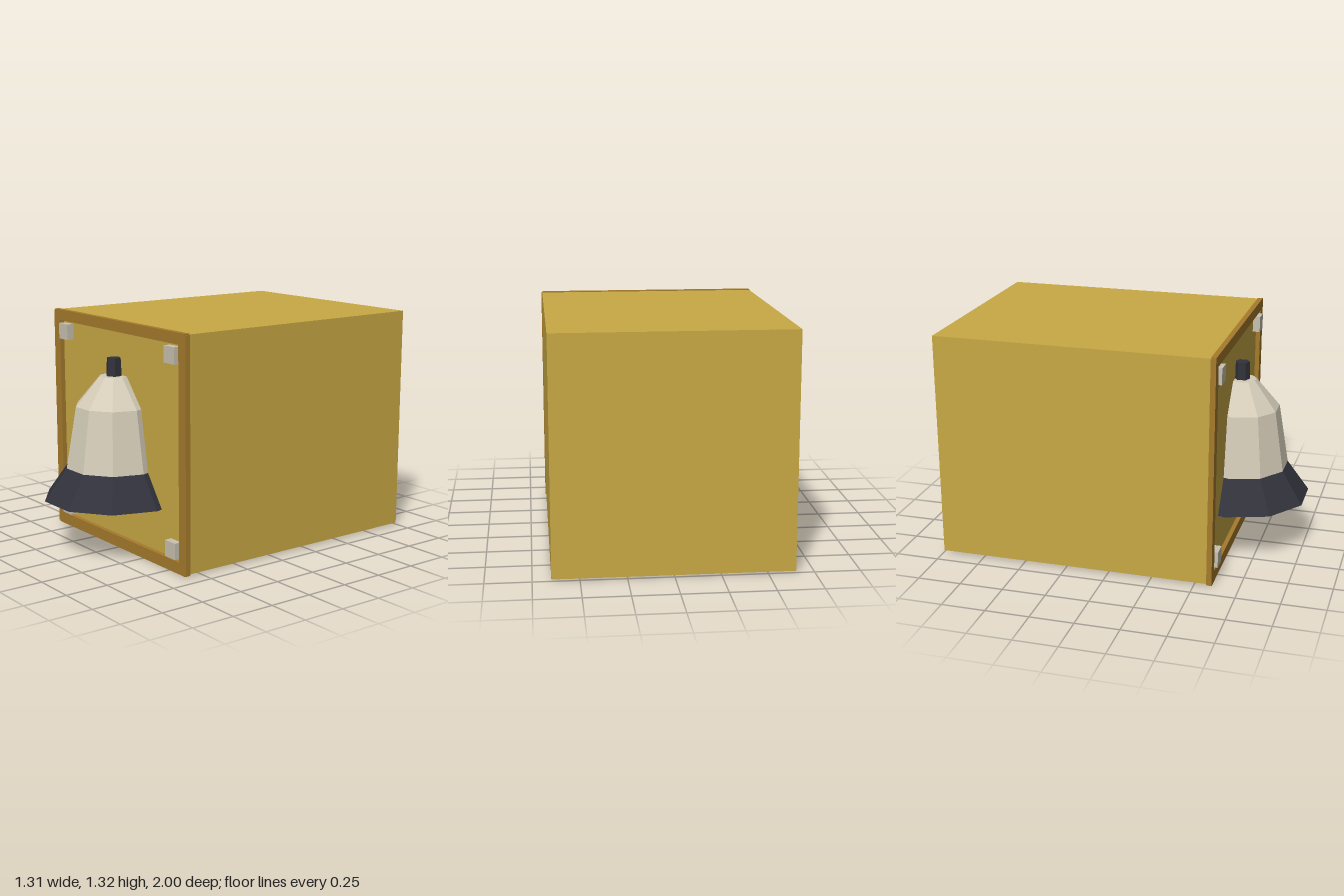
import * as THREE from 'three';

export function createModel() {
  const root = new THREE.Group();
  const mat = (name, color) => {
    const m = new THREE.MeshStandardMaterial({ color, flatShading: true });
    m.name = name;
    return m;
  };
  const gold = mat('gold', 0xc9a945);
  const bronze = mat('bronze', 0xa67b2c);
  const cream = mat('cream', 0xd4ccb8);
  const stone = mat('stone', 0xc9c2b1);
  const dark = mat('dark', 0x32323c);

  const add = (name, geometry, material, x = 0, y = 0, z = 0) => {
    const m = new THREE.Mesh(geometry, material);
    m.name = name;
    m.position.set(x, y, z);
    root.add(m);
    return m;
  };

  // Deep housing whose front is the recessed panel
  add('housing', new THREE.BoxGeometry(1.3, 1.3, 1.572), gold, 0, 0.66, -0.214);

  // Thin front frame with tiny corner notches
  const W = 0.655, B = 0, T = 1.315, n = 0.007;
  const outline = new THREE.Shape([
    [-W + n, B], [W - n, B], [W - n, B + n], [W, B + n],
    [W, T - n], [W - n, T - n], [W - n, T], [-W + n, T],
    [-W + n, T - n], [-W, T - n], [-W, B + n], [-W + n, B + n],
  ].map(([x, y]) => new THREE.Vector2(x, y)));
  outline.holes.push(new THREE.Path([
    [-0.592, 0.067], [-0.592, 1.252], [0.592, 1.252], [0.592, 0.067],
  ].map(([x, y]) => new THREE.Vector2(x, y))));
  add('frame', new THREE.ExtrudeGeometry(outline, { depth: 0.03, bevelEnabled: false }), bronze, 0, 0, 0.568);

  // Corner studs
  for (const x of [-0.531, 0.531]) {
    for (const y of [0.126, 1.192]) {
      add('cornerStud', new THREE.BoxGeometry(0.092, 0.092, 0.055), stone, x, y, 0.587);
    }
  }

  // Ten-sided bell, each ring a tapered band with a flat facet to the front
  const Z = 0.61;
  const band = (name, rTop, rBottom, yTop, yBottom, material, sides = 10, turn = Math.PI / 10) => {
    const g = new THREE.CylinderGeometry(rTop, rBottom, yTop - yBottom, sides);
    g.rotateY(turn);
    return add(name, g, material, 0, (yTop + yBottom) / 2, Z);
  };
  band('bellShoulder', 0.083, 0.222, 1.006, 0.842, cream);
  band('bellWaist', 0.222, 0.282, 0.842, 0.494, cream);
  band('bellLip', 0.282, 0.411, 0.494, 0.314, dark);
  band('bellStem', 0.041, 0.046, 1.107, 1.0, dark, 6, 0.1);

  // Clapper under the lip
  add('clapper', new THREE.SphereGeometry(0.066, 8, 4), dark, 0, 0.29, Z);

  return root;
}
